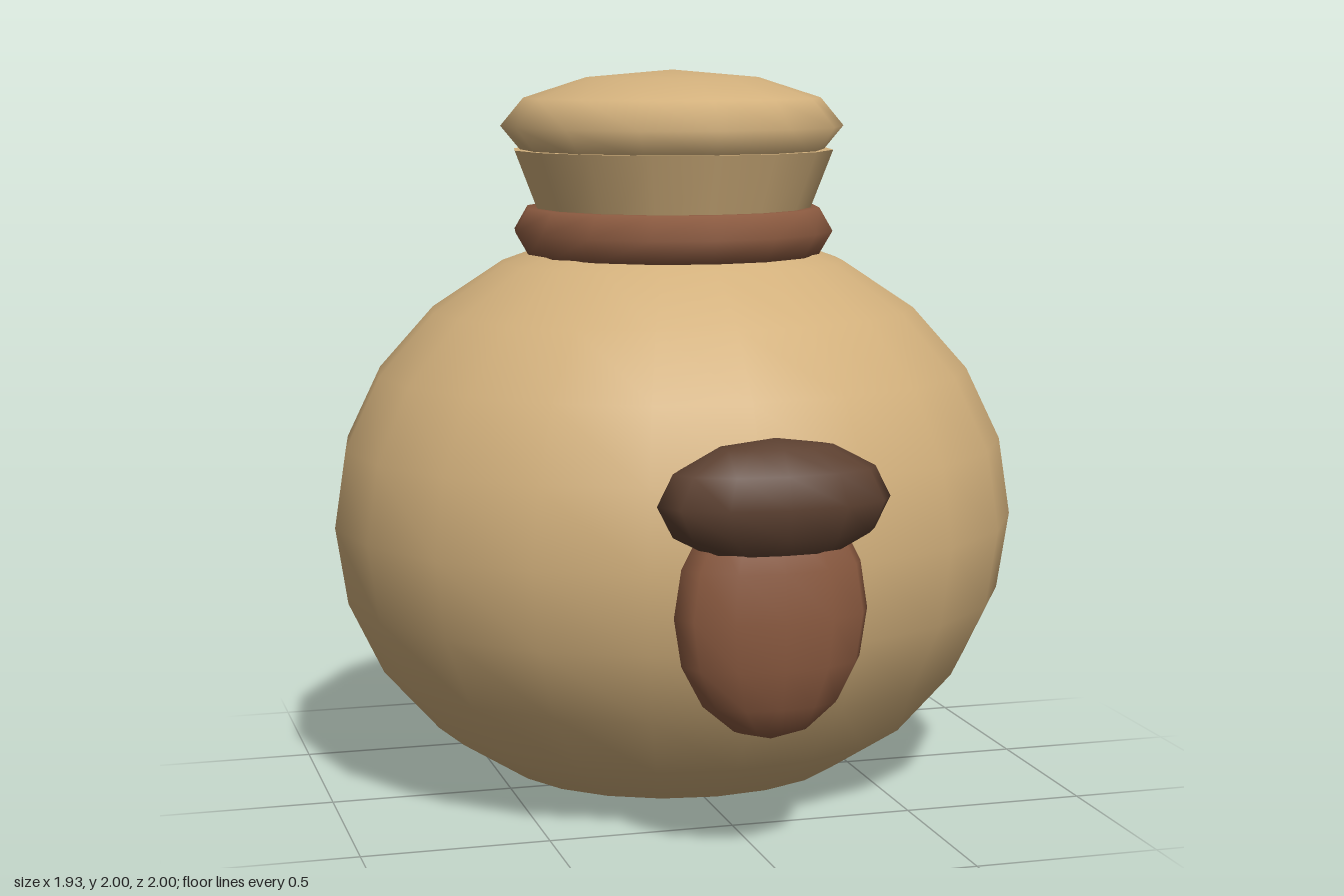
import * as THREE from 'three';

const mat = (name, color) => Object.assign(new THREE.MeshStandardMaterial({ color }), { name });

export function createModel() {
  const model = new THREE.Group();
  model.name = 'pouch';
  const cloth = mat('tan cloth', 0xd2b07c);
  const leather = mat('brown leather', 0x8b5a40);
  const bark = mat('dark brown', 0x5c4030);
  const axisZ = -0.1; // the bag sits behind the centre, the acorn in front

  const add = (name, geometry, material, x, y, z) => {
    const mesh = new THREE.Mesh(geometry, material);
    mesh.name = name;
    mesh.position.set(x, y, z);
    model.add(mesh);
    return mesh;
  };
  const ellipsoid = (rx, ry, rz, around, rings) =>
    new THREE.SphereGeometry(1, around, rings).scale(rx, ry, rz);

  // Round bag, its underside pressed nearly flat
  const bag = ellipsoid(0.965, 0.83, 0.895, 20, 12);
  const p = bag.attributes.position;
  const floor = -0.71;
  for (let i = 0; i < p.count; i++) {
    const y = p.getY(i);
    if (y < floor) p.setY(i, floor + (y - floor) * 0.32);
  }
  bag.computeVertexNormals();
  // Heal the normals along the seam and at the poles
  const n = bag.attributes.normal;
  for (let r = 0; r <= 12; r++) {
    const a = r * 21, b = a + 20;
    const v = new THREE.Vector3(n.getX(a) + n.getX(b), n.getY(a) + n.getY(b), n.getZ(a) + n.getZ(b)).normalize();
    n.setXYZ(a, v.x, v.y, v.z);
    n.setXYZ(b, v.x, v.y, v.z);
    if (r % 12 === 0) for (let i = a; i <= b; i++) n.setXYZ(i, 0, r ? -1 : 1, 0);
  }
  add('bag', bag, cloth, 0, 0.75, axisZ);

  // Tie around the neck, flared neck and puffed top
  const tie = new THREE.TorusGeometry(0.375, 0.075, 6, 16).rotateX(Math.PI / 2);
  add('tie', tie, leather, 0, 1.555, axisZ);
  add('neck', new THREE.CylinderGeometry(0.45, 0.365, 0.22, 16), cloth, 0, 1.67, axisZ);
  add('top', ellipsoid(0.48, 0.155, 0.48, 14, 6).rotateY(Math.PI / 2), cloth, 0, 1.845, axisZ);

  // Acorn ornament on the front
  add('acornNut', ellipsoid(0.255, 0.325, 0.13, 12, 8), leather, 0, 0.655, 0.835);
  add('acornCap', ellipsoid(0.305, 0.16, 0.14, 12, 6), bark, 0, 0.945, 0.86);

  return model;
}
